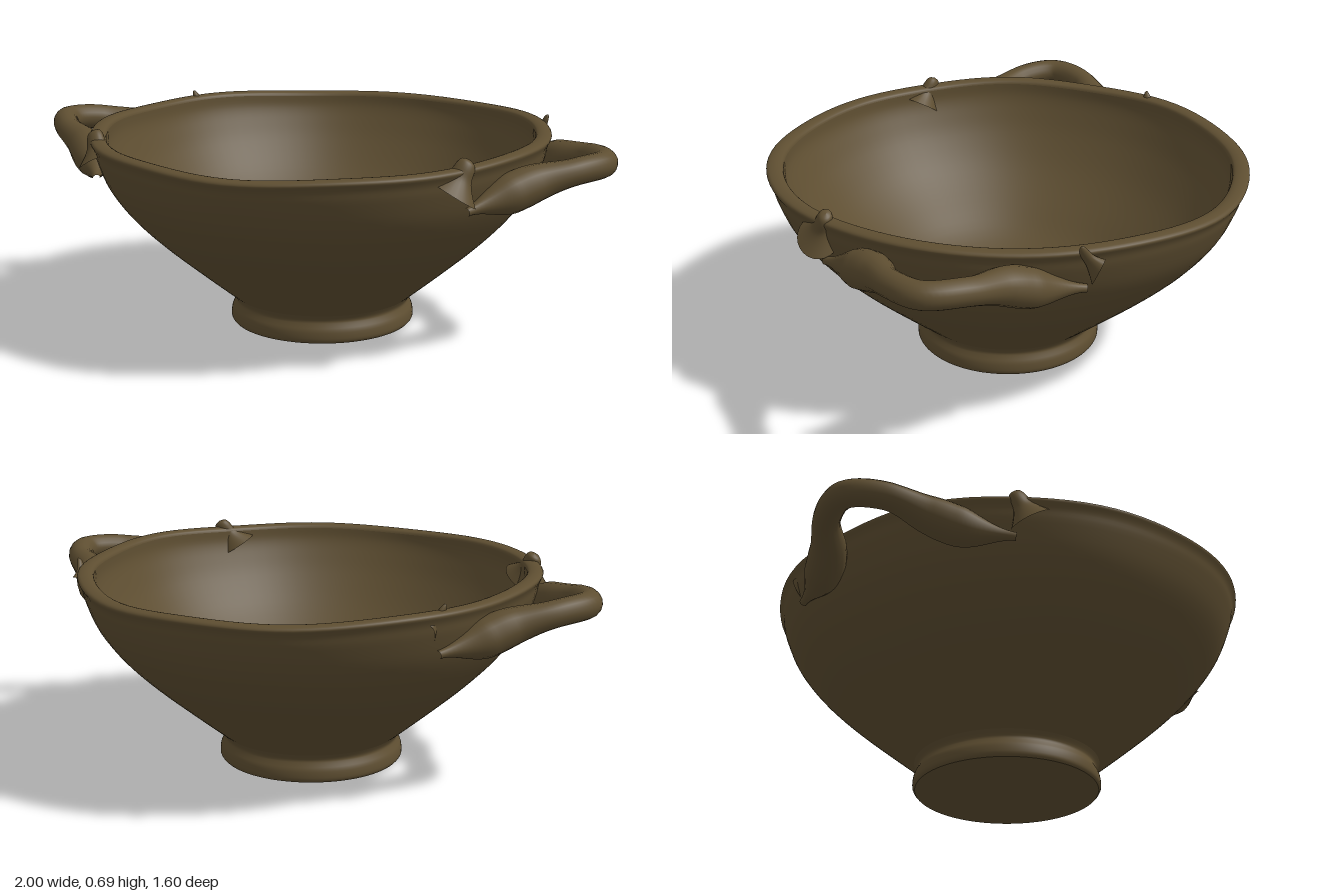
import * as THREE from 'three';
import { mergeVertices } from 'three/addons/utils/BufferGeometryUtils.js';

const V = (x, y, z) => new THREE.Vector3(x, y, z);

export function createModel() {
  const group = new THREE.Group();
  const clay = new THREE.MeshStandardMaterial({ color: 0x5e4e31 });
  clay.name = 'brown clay';

  const add = (name, geometry) => {
    const mesh = new THREE.Mesh(geometry, clay);
    mesh.name = name;
    group.add(mesh);
    return mesh;
  };

  // Hand-thrown unevenness: the bowl narrows in x and rises at the sides toward the rim
  const warp = (geometry) => {
    const p = geometry.attributes.position;
    for (let i = 0; i < p.count; i++) {
      const x = p.getX(i), y = p.getY(i), z = p.getZ(i);
      const t = THREE.MathUtils.clamp(y / 0.64, 0, 1);
      const a = Math.atan2(z, x);
      const r = Math.hypot(x, z);
      const wobble = 1 + 0.004 * t * Math.sin(5 * a + 1) + 0.003 * t * Math.sin(9 * a);
      const lift = t ** 4 * Math.min(1, r / 0.7) * (0.018 * Math.cos(a) ** 2 + 0.003 * Math.sin(7 * a));
      p.setXYZ(i, x * (1 - 0.045 * t) * wobble, y + lift, z * wobble);
    }
    geometry.deleteAttribute('uv');
    geometry.deleteAttribute('normal');
    const merged = mergeVertices(geometry, 1e-5);
    merged.computeVertexNormals();
    return merged;
  };

  // Turned sections; a smooth one is resampled along a spline
  const turn = (name, pts, smooth = 0) => {
    let profile = pts.map(([r, y]) => new THREE.Vector2(r, y));
    if (smooth) profile = new THREE.SplineCurve(profile).getPoints(smooth);
    profile.forEach((q) => { q.x = Math.max(q.x, 0); });
    add(name, warp(new THREE.LatheGeometry(profile, 96)));
  };
  turn('footUnderside', [[0, 0.008], [0.2, 0.006], [0.305, 0]]);
  turn('footRing', [[0.305, 0], [0.313, 0.012], [0.311, 0.04], [0.302, 0.06], [0.298, 0.075], [0.31, 0.095]], 16);
  turn('outerWall', [[0.31, 0.095], [0.36, 0.135], [0.45, 0.208], [0.56, 0.3], [0.66, 0.395],
    [0.735, 0.49], [0.775, 0.575], [0.787, 0.615], [0.798, 0.635]], 32);
  turn('rim', [[0.798, 0.635], [0.8, 0.642], [0.792, 0.65], [0.77, 0.653], [0.75, 0.648], [0.744, 0.638]], 14);
  turn('innerWall', [[0.744, 0.638], [0.738, 0.6], [0.715, 0.55], [0.67, 0.475], [0.59, 0.375],
    [0.48, 0.275], [0.36, 0.185], [0.2, 0.12], [0.08, 0.105], [0, 0.103]], 40);

  // Looped handles: tubes that thicken toward their roots and taper into the wall
  const makeHandle = (name, s, tilt) => {
    const curve = new THREE.CatmullRomCurve3([
      V(0.64, 0.53, -0.38), V(0.71, 0.55, -0.25), V(0.785, 0.585, -0.165), V(0.895, 0.615, -0.085),
      V(0.955, 0.622, 0.03), V(0.895, 0.615, 0.14), V(0.785, 0.585, 0.22), V(0.7, 0.55, 0.31), V(0.625, 0.525, 0.43),
    ].map((q) => V(q.x * s, q.y + tilt * Math.max(0, q.x - 0.75) * 4, q.z)));
    const n = 72, sides = 16;
    const g = new THREE.TubeGeometry(curve, n, 1, sides);
    const p = g.attributes.position, q = new THREE.Vector3();
    for (let i = 0; i <= n; i++) {
      const c = curve.getPointAt(i / n), d = Math.abs(i / n - 0.5) * 2;
      const r = 0.043 + 0.02 * THREE.MathUtils.smoothstep(d, 0.25, 0.6)
        - 0.05 * THREE.MathUtils.smoothstep(d, 0.65, 1);
      for (let j = 0; j <= sides; j++) {
        const k = i * (sides + 1) + j;
        q.fromBufferAttribute(p, k).sub(c).multiplyScalar(r).add(c);
        p.setXYZ(k, q.x, q.y, q.z);
      }
    }
    g.deleteAttribute('uv');
    g.deleteAttribute('normal');
    const merged = mergeVertices(g, 1e-5);
    merged.computeVertexNormals();
    add(name, merged);
  };
  makeHandle('leftHandle', 1, -0.005);
  makeHandle('rightHandle', -1, 0.012);

  // Pinched knobs beside the handles, flared where they meet the rim
  const knobProfile = new THREE.SplineCurve([[0.095, -0.015], [0.062, 0.02], [0.042, 0.05], [0.035, 0.085],
    [0.024, 0.105], [0, 0.112]].map(([r, y]) => new THREE.Vector2(r, y))).getPoints(20);
  knobProfile.forEach((q) => { q.x = Math.max(q.x, 0); });
  const knobs = [
    ['backLeftKnob', 0.735, -0.465], ['frontLeftKnob', 0.675, 0.52],
    ['backRightKnob', -0.705, -0.465], ['frontRightKnob', -0.68, 0.525],
  ];
  for (const [name, x, z] of knobs) {
    const knob = add(name, new THREE.LatheGeometry(knobProfile, 24));
    const out = V(x, 0, z).normalize();
    const axis = out.clone().setY(0.22).normalize();
    const side = V(0, 1, 0).cross(axis).normalize();
    const up = axis.clone().cross(side);
    knob.quaternion.setFromRotationMatrix(new THREE.Matrix4().makeBasis(side, axis, up));
    knob.scale.set(1, 1, 0.75);
    knob.position.set(x, 0.62, z).addScaledVector(axis, -0.108);
  }

  return group;
}
